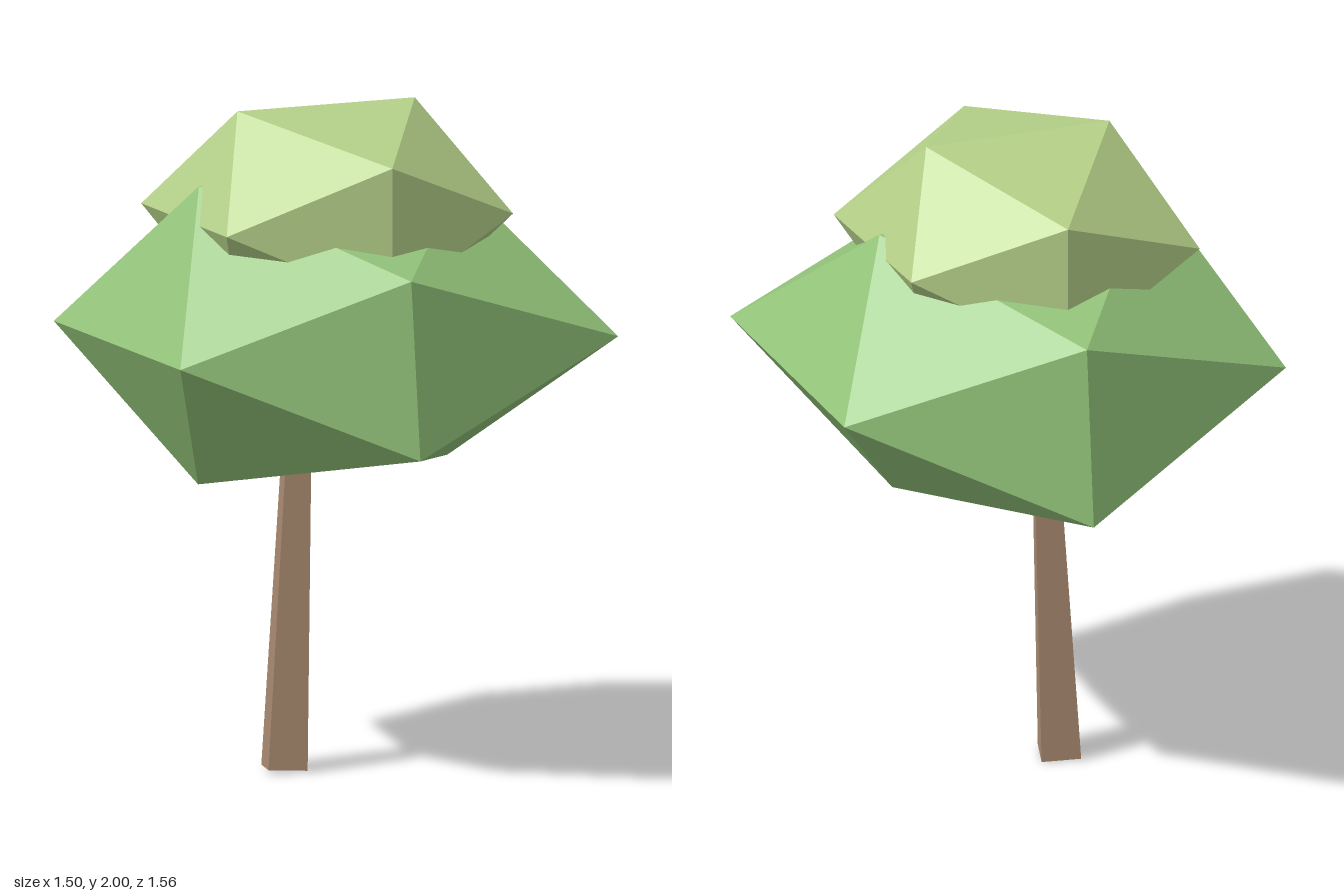
import * as THREE from 'three';
import { ConvexGeometry } from 'three/addons/geometries/ConvexGeometry.js';

const paint = (color) => new THREE.MeshStandardMaterial({ color, flatShading: true });

// Faceted leaf clump: the hull of twelve corner points
function leafClump(name, color, corners) {
  const points = corners.map((c) => new THREE.Vector3(...c));
  const mesh = new THREE.Mesh(new ConvexGeometry(points), paint(color));
  mesh.name = name;
  return mesh;
}

// Four-sided trunk, tapering and leaning back
function trunk() {
  const height = 1.2;
  const geometry = new THREE.CylinderGeometry(0.045, 0.083, height, 4);
  geometry.translate(0, height / 2, 0);
  const p = geometry.attributes.position;
  for (let i = 0; i < p.count; i++) {
    const y = p.getY(i), z = p.getZ(i);
    const t = y / height;
    p.setXYZ(i, p.getX(i) - 0.122 + 0.003 * t, y + 0.007 + 0.07 * z, z + 0.093 - 0.075 * t);
  }
  geometry.computeVertexNormals();
  const mesh = new THREE.Mesh(geometry, paint(0xa88a70));
  mesh.name = 'trunk';
  return mesh;
}

export function createModel() {
  const tree = new THREE.Group();
  tree.name = 'tree';

  const lower = leafClump('lowerLeaves', 0x93c47a, [
    // middle ring
    [-0.75, 1.325, 0.38], [-0.02, 1.325, 0.78], [0.75, 1.325, -0.375], [-0.02, 1.325, -0.78],
    // upper corners
    [-0.24, 1.785, 0.365], [0.51, 1.58, 0.35], [-0.58, 1.58, -0.335], [0.2, 1.735, -0.35],
    // lower corners
    [-0.24, 0.89, 0.37], [0.56, 1.05, 0.375], [-0.635, 1.035, -0.37], [0.18, 0.915, -0.315],
  ]);

  const upper = leafClump('upperLeaves', 0xb4d088, [
    // middle ring
    [-0.52, 1.685, 0.26], [-0.02, 1.685, 0.54], [0.47, 1.685, -0.235], [-0.02, 1.685, -0.47],
    // upper corners
    [-0.175, 2.0, 0.26], [0.38, 1.89, 0.26], [-0.425, 1.89, -0.235], [0.125, 1.997, -0.225],
    // lower corners
    [-0.175, 1.37, 0.26], [0.38, 1.48, 0.26], [-0.425, 1.48, -0.235], [0.125, 1.37, -0.225],
  ]);

  tree.add(trunk(), lower, upper);
  return tree;
}
